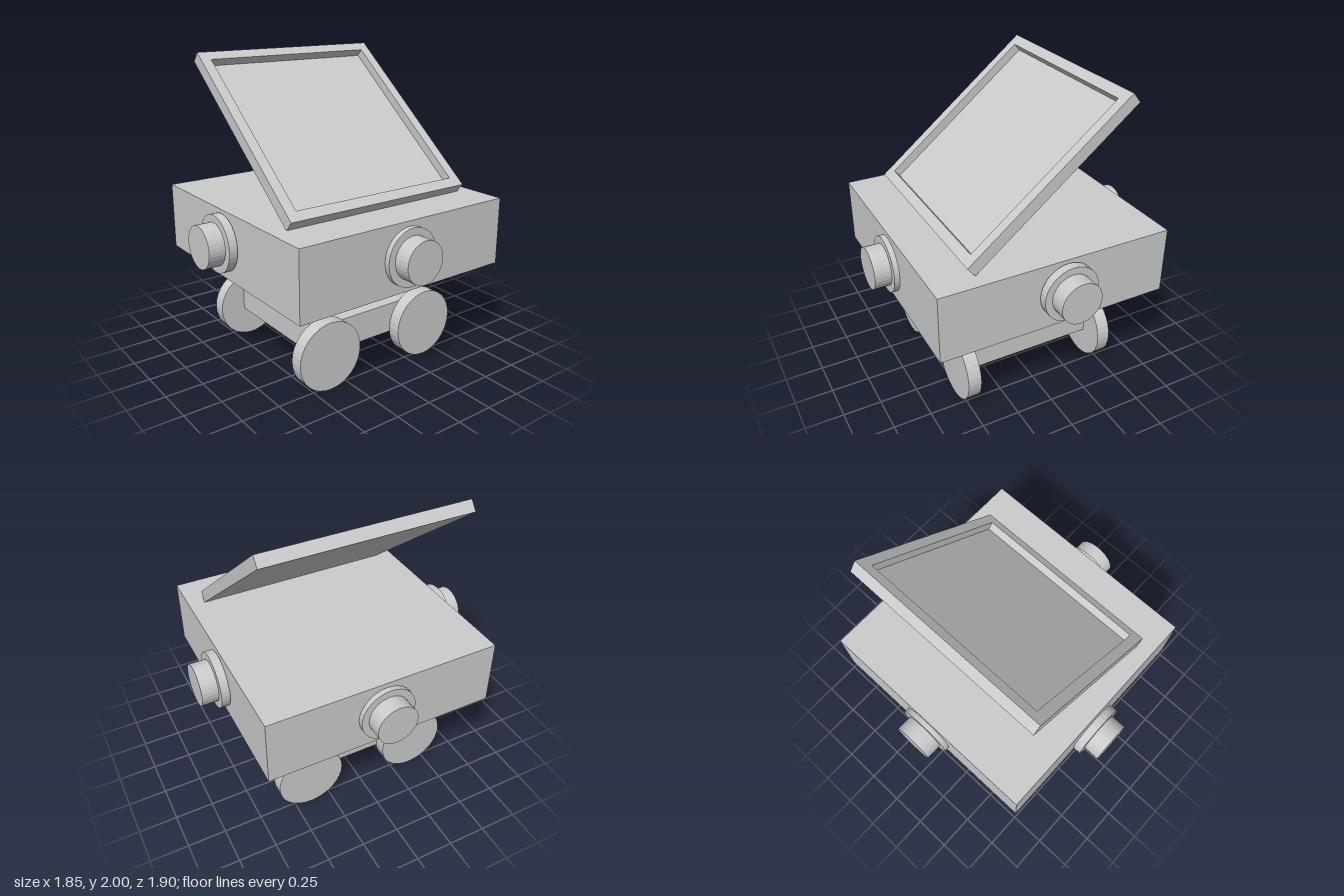
import * as THREE from 'three';

const material = new THREE.MeshStandardMaterial({ color: 0xcccccc, flatShading: true });

function addMesh(parent, name, geometry, x = 0, y = 0, z = 0) {
  const mesh = new THREE.Mesh(geometry, material);
  mesh.name = name;
  mesh.position.set(x, y, z);
  parent.add(mesh);
  return mesh;
}

// Stepped round port: wide flange and narrower barrel, pointing along +z
function makePort(name) {
  const port = new THREE.Group();
  port.name = name;
  const flange = new THREE.CylinderGeometry(0.186, 0.186, 0.056, 32).rotateX(Math.PI / 2);
  const barrel = new THREE.CylinderGeometry(0.138, 0.138, 0.108, 32).rotateX(Math.PI / 2);
  addMesh(port, 'portFlange', flange, 0, 0, 0.028);
  addMesh(port, 'portBarrel', barrel, 0, 0, 0.11);
  return port;
}

// Square tray tilted up from the top: thin backing with a raised rim
function makePanel() {
  const panel = new THREE.Group();
  panel.name = 'tiltedPanel';
  const half = 0.674, inner = 0.605, thick = 0.078, floor = 0.021;
  const rim = new THREE.Shape();
  rim.moveTo(-half, -half).lineTo(half, -half).lineTo(half, half).lineTo(-half, half).closePath();
  const hole = new THREE.Path();
  hole.moveTo(-inner, -inner).lineTo(-inner, inner).lineTo(inner, inner).lineTo(inner, -inner).closePath();
  rim.holes.push(hole);
  const rimGeometry = new THREE.ExtrudeGeometry(rim, { depth: thick - floor, bevelEnabled: false });
  rimGeometry.rotateX(-Math.PI / 2);
  addMesh(panel, 'panelRim', rimGeometry, 0, -thick / 2 + floor, 0);
  addMesh(panel, 'panelBacking', new THREE.BoxGeometry(2 * half, floor, 2 * half), 0, (floor - thick) / 2, 0);
  panel.position.set(0, 1.546, 0);
  panel.rotation.z = THREE.MathUtils.degToRad(-39);
  return panel;
}

export function createModel() {
  const model = new THREE.Group();
  model.name = 'wheeledCart';

  // Body, neck and chassis
  addMesh(model, 'body', new THREE.BoxGeometry(1.56, 0.445, 1.56), 0, 0.8725, 0);
  addMesh(model, 'neck', new THREE.CylinderGeometry(0.203, 0.203, 0.25, 32), 0, 0.525, 0);
  addMesh(model, 'chassis', new THREE.BoxGeometry(0.89, 0.2, 0.88), 0, 0.3, 0);

  // Four disc wheels
  for (const sx of [-1, 1]) {
    for (const sz of [-1, 1]) {
      const wheel = new THREE.CylinderGeometry(0.228, 0.228, 0.09, 32).rotateZ(Math.PI / 2);
      addMesh(model, `${sz > 0 ? 'front' : 'back'}${sx > 0 ? 'Left' : 'Right'}Wheel`, wheel,
        sx * 0.486, 0.228, sz * 0.387);
    }
  }

  // One port on each side of the body
  const ports = [
    ['frontPort', -0.05, 0.89, 0.788, 0],
    ['backPort', -0.05, 0.89, -0.788, Math.PI],
    ['leftPort', 0.759, 0.876, 0, Math.PI / 2],
    ['rightPort', -0.759, 0.876, 0, -Math.PI / 2],
  ];
  for (const [name, x, y, z, turn] of ports) {
    const port = makePort(name);
    port.position.set(x, y, z);
    port.rotation.y = turn;
    model.add(port);
  }

  model.add(makePanel());
  return model;
}
